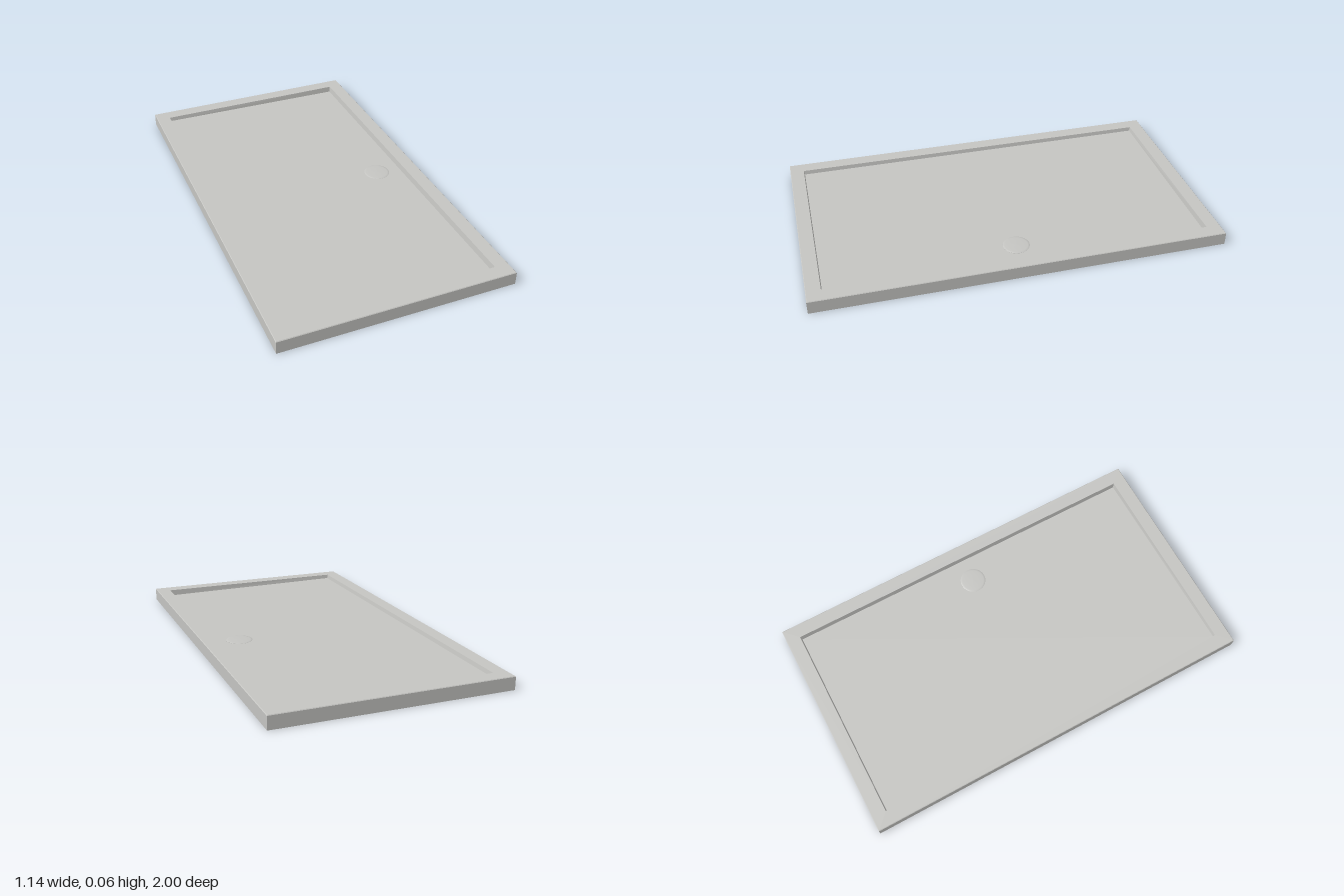
import * as THREE from 'three';

const HX = 0.57, HZ = 1, TOP = 0.065;
const floorY = (x) => TOP - 0.025 - 0.01 * x; // floor falls towards the drain side

const trayGrey = new THREE.MeshStandardMaterial({ color: 0xc4c4c1, side: THREE.DoubleSide });
trayGrey.name = 'trayGrey';

// Four corners of a rectangle, counter-clockwise seen from above
function ring(hx, hz, yAt) {
  return [[-hx, hz], [hx, hz], [hx, -hz], [-hx, -hz]].map(([x, z]) => [x, yAt(x), z]);
}

// Sharp-edged strip of faces through successive rings, optionally closed by the last one
function loft(name, rings, cap = false) {
  const pos = [];
  const quad = (a, b, c, d) => pos.push(...a, ...b, ...c, ...a, ...c, ...d);
  for (let i = 0; i + 1 < rings.length; i++) {
    for (let k = 0; k < 4; k++) {
      const n = (k + 1) % 4;
      quad(rings[i][k], rings[i][n], rings[i + 1][n], rings[i + 1][k]);
    }
  }
  if (cap) quad(...rings[rings.length - 1]);
  const geo = new THREE.BufferGeometry();
  geo.setAttribute('position', new THREE.Float32BufferAttribute(pos, 3));
  geo.computeVertexNormals();
  const mesh = new THREE.Mesh(geo, trayGrey);
  mesh.name = name;
  return mesh;
}

export function createModel() {
  const tray = new THREE.Group();
  tray.name = 'showerTray';
  const b = 0.003; // softened outer edge

  // Outer skirt, open underneath
  tray.add(loft('skirt', [
    ring(HX, HZ, () => 0),
    ring(HX, HZ, () => TOP - b),
    ring(HX - b, HZ - b, () => TOP),
  ]));

  // Flat rim around the basin
  const lip = ring(0.5, 0.93, () => TOP);
  tray.add(loft('rim', [ring(HX - b, HZ - b, () => TOP), lip]));

  // Recessed basin with steep sides and a sloping floor
  tray.add(loft('basin', [lip, ring(0.496, 0.926, floorY)], true));

  // Shallow domed drain cover set through the floor
  const profile = [[0, -0.002], [0.065, -0.002], [0.065, 0.001], [0.055, 0.0025], [0.03, 0.0035], [0, 0.004]]
    .map(([r, y]) => new THREE.Vector2(r, y));
  const drain = new THREE.Mesh(new THREE.LatheGeometry(profile, 40), trayGrey);
  drain.name = 'drainCover';
  drain.position.set(0.37, floorY(0.37), -0.005);
  tray.add(drain);

  return tray;
}
